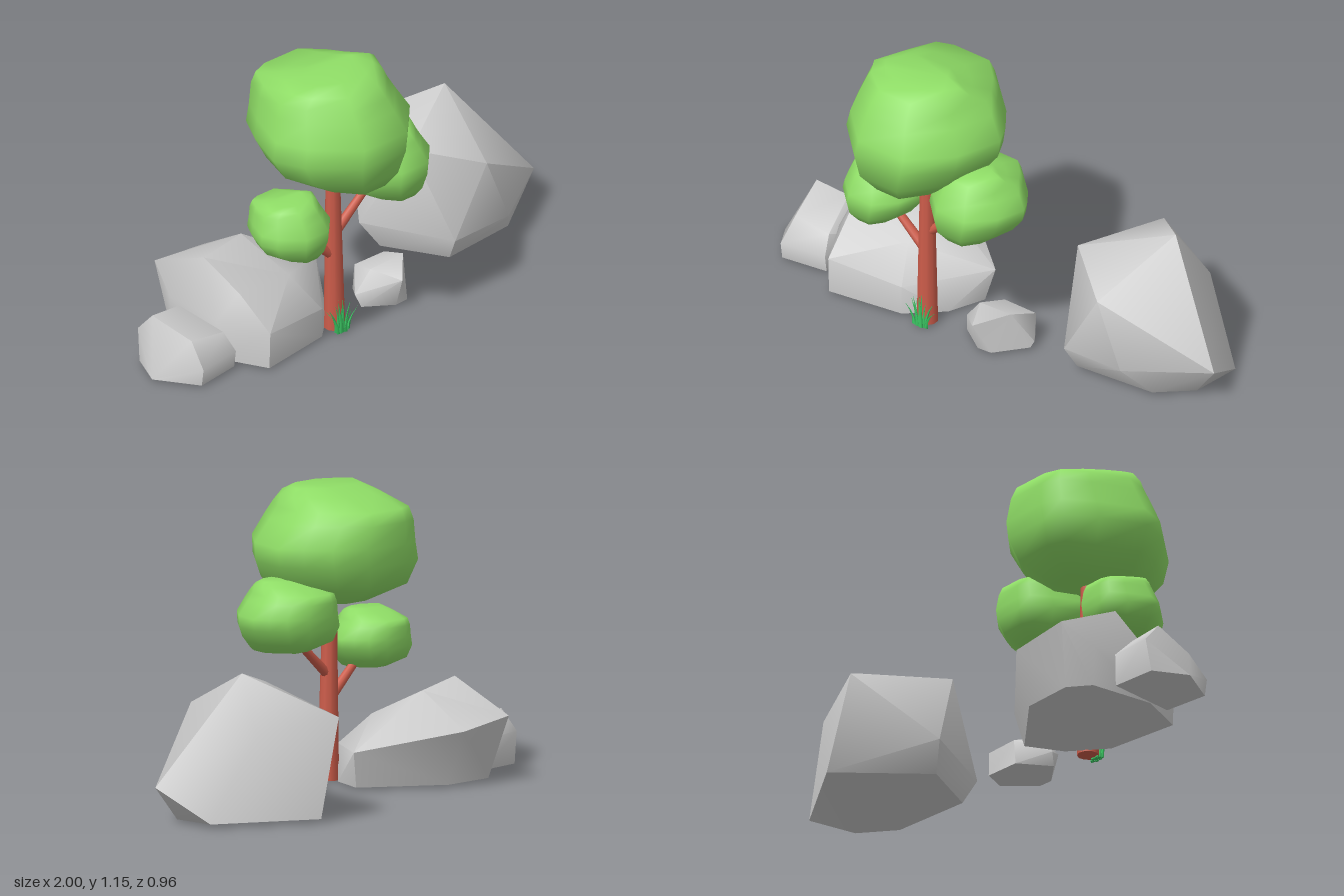
import * as THREE from 'three';
import { ConvexGeometry } from 'three/addons/geometries/ConvexGeometry.js';
import { toCreasedNormals } from 'three/addons/utils/BufferGeometryUtils.js';

const mat = (color) => new THREE.MeshStandardMaterial({ color });
const stone = mat(0xcccccc), bark = mat(0xcc5c4a), leaf = mat(0x8fdd66), grass = mat(0x3cc864);
const V = (p) => new THREE.Vector3(...p);

function add(group, name, geometry, material) {
  const mesh = new THREE.Mesh(geometry, material);
  mesh.name = name;
  group.add(mesh);
  return mesh;
}

// Faceted boulder: hull of its corners, softened across the shallower edges
const rock = (points) => toCreasedNormals(new ConvexGeometry(points.map(V)), 0.9);

// Tapered limb between two points
function limb(a, b, r0, r1) {
  const from = V(a), dir = V(b).sub(from);
  const g = new THREE.CylinderGeometry(r1, r0, dir.length(), 10);
  g.translate(0, dir.length() / 2, 0);
  g.applyQuaternion(new THREE.Quaternion().setFromUnitVectors(new THREE.Vector3(0, 1, 0), dir.normalize()));
  return g.translate(...a);
}

// Foliage plan outline (x, z) and levels: y, x min/max, z min/max, all in -1..1
const OUTLINE = [[-1, 0.1], [-0.8, -0.5], [-0.6, -0.9], [-0.33, -1], [0.34, -1], [0.65, -0.7],
  [0.86, -0.4], [1, -0.1], [0.8, 0.5], [0.34, 1], [-0.34, 1], [-0.83, 0.5]];
const LEVELS = [[-1, -0.48, 0.48, -0.45, 0.8], [-0.71, -0.83, 0.76, -0.9, 0.95], [-0.3, -1, 0.97, -1, 1],
  [0.02, -0.95, 1, -1, 0.98], [0.4, -0.86, 0.83, -1, 0.84], [0.62, -0.8, 0.74, -0.94, 0.74],
  [0.82, -0.7, 0.64, -0.5, 0.62], [0.95, -0.52, 0.52, -0.22, 0.42]];

// Smooth faceted foliage lump filling the box lo..hi
function foliage(lo, hi) {
  const n = OUTLINE.length, pos = [], idx = [];
  const put = (...p) => pos.push(...p.map((v, i) => lo[i] + (hi[i] - lo[i]) * (v + 1) / 2));
  for (const [y, x0, x1, z0, z1] of LEVELS)
    for (const [u, w] of OUTLINE)
      put(x0 + (x1 - x0) * (u + 1) / 2, y, z0 + (z1 - z0) * (w + 1) / 2);
  const top = LEVELS.length - 1, bottomPole = n * LEVELS.length, topPole = bottomPole + 1;
  put(0, -1, 0.15);
  put(0.3, 1, 0);
  for (let i = 0; i < n; i++) {
    const j = (i + 1) % n;
    for (let k = 0; k < top; k++) {
      const a = k * n + i, b = k * n + j;
      idx.push(a, a + n, b, b, a + n, b + n);
    }
    idx.push(bottomPole, i, j, topPole, top * n + j, top * n + i);
  }
  const g = new THREE.BufferGeometry();
  g.setAttribute('position', new THREE.Float32BufferAttribute(pos, 3));
  g.setIndex(idx);
  g.computeVertexNormals();
  return g;
}

// Grass blade: thin cone bending outward
function blade(angle, height, lean) {
  const g = new THREE.ConeGeometry(0.01, height, 4, 3);
  g.translate(0, height / 2, 0);
  const p = g.attributes.position;
  for (let i = 0; i < p.count; i++) {
    const t = Math.max(0, p.getY(i) / height);
    p.setX(i, p.getX(i) + lean * t * t);
  }
  g.rotateY(angle);
  g.scale(1, 1, 0.5);
  g.computeVertexNormals();
  return g;
}

export function createModel() {
  const model = new THREE.Group();
  model.name = 'treeAndRocks';

  // Rocks
  const rocks = new THREE.Group();
  rocks.name = 'rocks';
  model.add(rocks);
  add(rocks, 'largeRock', rock([
    [0.69, 0.56, -0.2], [0.36, 0.47, -0.02], [0.59, 0.4, 0.155], [0.43, 0.39, -0.46], [0.75, 0.34, -0.335],
    [1, 0.14, -0.04], [0.93, 0.015, -0.26], [0.24, 0.13, -0.18], [0.31, 0.02, -0.14], [0.43, 0.12, 0.155],
    [0.7, 0.13, 0.155], [0.55, 0.015, -0.48], [0.45, 0.02, 0.1], [0.78, 0.015, 0.06], [0.9, 0.01, -0.06],
  ]), stone);
  add(rocks, 'wideRock', rock([
    [-0.66, 0.375, -0.05], [-0.41, 0.355, -0.12], [-0.63, 0.28, 0.12], [-0.36, 0.25, 0.1], [-0.67, 0.25, -0.32],
    [-0.41, 0.22, -0.33], [-0.71, 0.17, 0.08], [-0.71, 0.17, -0.19], [-0.61, 0.16, 0.275], [-0.3, 0.13, 0.22],
    [-0.075, 0.15, -0.07], [-0.11, 0.01, -0.05], [-0.17, 0.01, 0.1], [-0.3, 0.01, 0.22], [-0.61, 0.01, 0.27],
    [-0.71, 0.01, 0.08], [-0.7, 0.01, -0.19], [-0.62, 0.01, -0.26], [-0.4, 0.01, -0.26],
  ]), stone);
  add(rocks, 'leftRock', rock([
    [-0.92, 0.22, -0.05], [-0.775, 0.205, -0.06], [-0.88, 0.17, 0.13], [-0.72, 0.15, 0.13], [-0.93, 0.14, -0.12],
    [-0.765, 0.13, -0.135], [-0.89, 0.08, 0.21], [-0.7, 0.08, 0.18], [-1, 0.01, 0.04], [-0.94, 0.01, -0.1],
    [-0.75, 0.01, -0.12], [-0.89, 0.01, 0.2], [-0.7, 0.01, 0.17], [-0.68, 0.1, 0],
  ]), stone);
  add(rocks, 'smallRock', rock([
    [0.015, 0.15, 0.14], [0.17, 0.165, 0.15], [0.07, 0.13, 0.26], [0.19, 0.11, 0.02], [0.04, 0.11, 0.02],
    [-0.055, 0.06, 0.13], [-0.04, 0.01, 0.15], [0.23, 0.03, 0.08], [0.225, 0.01, 0.1], [0.07, 0.01, 0.225],
    [0.13, 0.01, 0.22], [0.18, 0.01, 0.01], [0.03, 0.01, 0.02],
  ]), stone);

  // Tree
  const tree = new THREE.Group();
  tree.name = 'tree';
  model.add(tree);
  add(tree, 'trunk', limb([-0.205, 0.005, 0.183], [-0.21, 0.76, 0.178], 0.042, 0.026), bark);
  add(tree, 'leftBranch', limb([-0.21, 0.4, 0.18], [0.01, 0.59, 0.18], 0.02, 0.014), bark);
  add(tree, 'rightBranch', limb([-0.2, 0.305, 0.18], [-0.38, 0.465, 0.18], 0.021, 0.015), bark);
  add(tree, 'crown', foliage([-0.535, 0.7, -0.125], [0.115, 1.15, 0.48]), leaf);
  add(tree, 'leftFoliage', foliage([-0.16, 0.53, -0.01], [0.24, 0.81, 0.365]), leaf);
  add(tree, 'rightFoliage', foliage([-0.585, 0.42, 0.025], [-0.255, 0.65, 0.33]), leaf);

  // Grass tuft at the foot of the trunk
  const tuft = new THREE.Group();
  tuft.name = 'grassTuft';
  tuft.position.set(-0.205, 0, 0.225);
  model.add(tuft);
  for (let i = 0; i < 15; i++) {
    const angle = i * 2.4, r = 0.008 * Math.sqrt(i);
    const mesh = add(tuft, 'grassBlade', blade(angle, 0.14 - 0.004 * i, 0.006 + 0.0033 * i), grass);
    mesh.position.set(Math.cos(angle) * r, 0, -Math.sin(angle) * r * 0.5);
  }
  return model;
}
